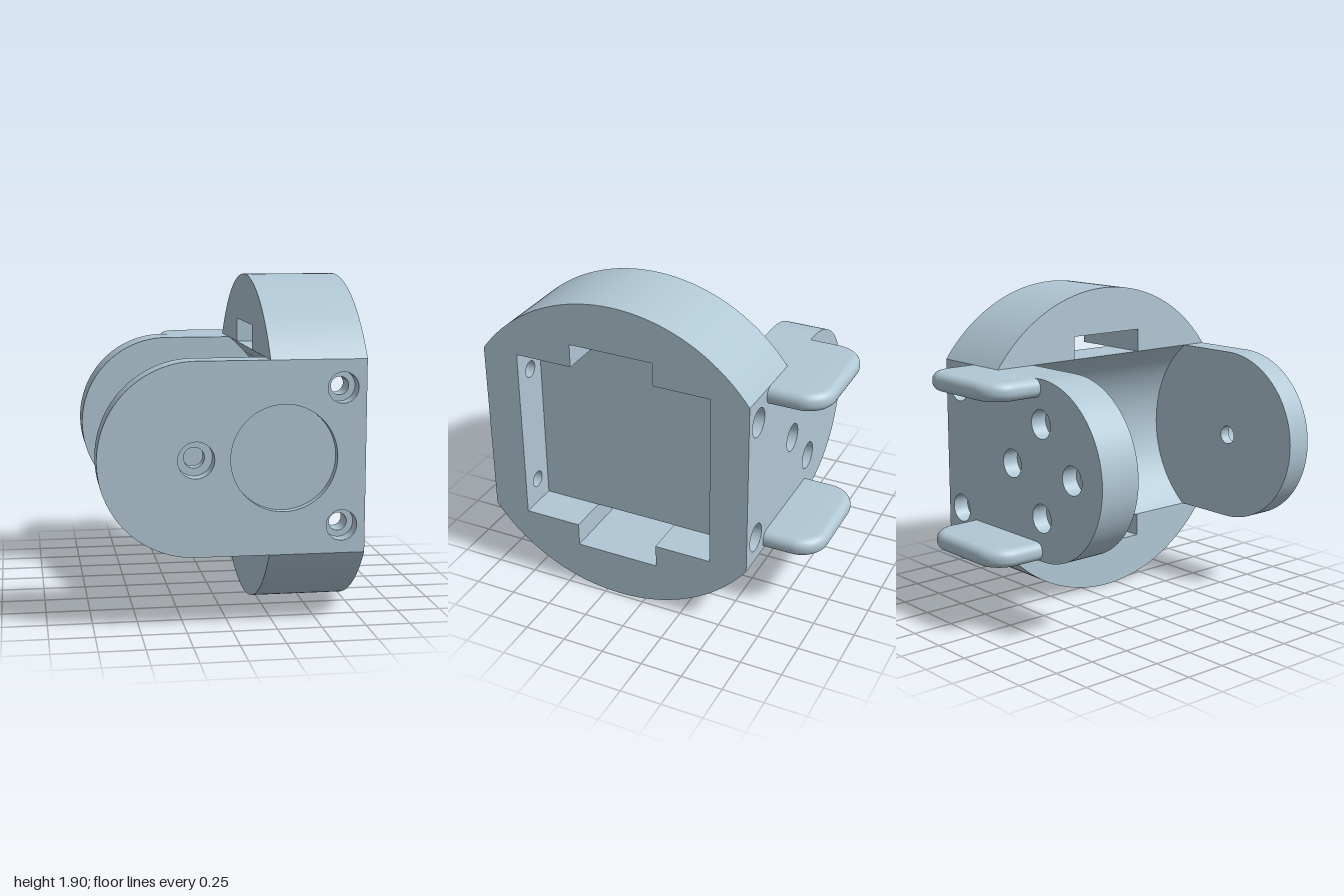
import * as THREE from 'three';
import { toCreasedNormals } from 'three/addons/utils/BufferGeometryUtils.js';

const BOTTOM = 0.42, TOP = 1.485, MID = 0.9525, HALF = (TOP - BOTTOM) / 2;
const FACE = 0.73, INNER = 0.2, FLOOR = 0.487; // outer face, inner face, pocket floor (x)
const PIVOT = -0.2;

export function createModel() {
  const model = new THREE.Group();
  const plastic = new THREE.MeshStandardMaterial({ color: 0xb0c7d4 });
  plastic.name = 'paleBluePlastic';

  const add = (name, geometry) => {
    const mesh = new THREE.Mesh(toCreasedNormals(geometry, 0.5), plastic);
    mesh.name = name;
    model.add(mesh);
  };

  // Slab of an xy shape between two z values, drilled with [x, y, radius] holes
  const slab = (name, shape, z0, z1, holes = []) => {
    for (const [x, y, r] of holes) {
      const path = new THREE.Path();
      path.absarc(x, y, r, 0, Math.PI * 2, true);
      shape.holes.push(path);
    }
    const g = new THREE.ExtrudeGeometry(shape, { depth: z1 - z0, bevelEnabled: false, curveSegments: 48 });
    add(name, g.translate(0, 0, z0));
  };

  // Plate outline: square at the body, round around the pivot
  const outline = (xMax = FACE) => {
    const s = new THREE.Shape();
    s.moveTo(xMax, BOTTOM);
    s.lineTo(xMax, TOP);
    s.lineTo(PIVOT, TOP);
    s.absarc(PIVOT, MID, HALF, Math.PI / 2, Math.PI * 1.5, false);
    s.closePath();
    return s;
  };
  const block = () => new THREE.Shape([
    new THREE.Vector2(FLOOR, BOTTOM), new THREE.Vector2(FACE, BOTTOM),
    new THREE.Vector2(FACE, TOP), new THREE.Vector2(FLOOR, TOP),
  ]);

  const mounts = (r) => [-1, 1].map((s) => [0.6, MID + s * 0.378, r]);
  const horn = (r) => [0, 1, 2, 3].map((i) => {
    const a = i * Math.PI / 2;
    return [PIVOT + 0.275 * Math.cos(a), MID + 0.275 * Math.sin(a), r];
  });

  // Front plate, layered for its counterbores and round recess
  const bores = [...mounts(0.085), [PIVOT, MID, 0.1]];
  slab('frontPlateFace', outline(), 0.95, 1, [...bores, [0.28, MID, 0.293]]);
  slab('frontPlateMiddle', outline(), 0.91, 0.95, bores);
  slab('frontPlateInner', outline(), 0.84, 0.91, [...mounts(0.05), [PIVOT, MID, 0.057]]);
  slab('frontPocketWall', block(), 0.78, 0.84, mounts(0.05));

  // Rear plate with counterbored horn screws
  slab('rearPlateFace', outline(), -0.66, -0.56, [...mounts(0.085), ...horn(0.085)]);
  slab('rearPlateInner', outline(), -0.56, -0.43, [...mounts(0.05), ...horn(0.05)]);
  slab('rearPlateLip', outline(FLOOR), -0.43, -0.4, horn(0.05));

  // Web between the plates, hollowed by a cylinder around the pivot
  const radius = Math.hypot(INNER - PIVOT, HALF), sweep = Math.atan2(HALF, INNER - PIVOT);
  const web = new THREE.Shape();
  web.moveTo(FLOOR, BOTTOM);
  web.lineTo(FLOOR, TOP);
  web.lineTo(INNER, TOP);
  web.absarc(PIVOT, MID, radius, sweep, -sweep, true);
  web.closePath();
  slab('concaveWeb', web, -0.4, 0.84);

  // Domed caps above and below, notched by a slot (profile x is -z)
  const cap = new THREE.Shape();
  const start = Math.atan2(0.61, 0.83);
  cap.moveTo(-1, TOP);
  cap.lineTo(-0.43, TOP);
  cap.lineTo(-0.43, 1.625);
  cap.lineTo(0.085, 1.625);
  cap.lineTo(0.085, TOP);
  cap.lineTo(0.66, TOP);
  cap.absarc(-0.17, 0.875, 1.03, start, Math.PI - start, false);
  const capPoints = cap.getPoints(64);
  for (const side of [1, -1]) {
    const shape = new THREE.Shape(capPoints.map((p) => new THREE.Vector2(p.x, MID + side * (p.y - MID))));
    const g = new THREE.ExtrudeGeometry(shape, { depth: FACE - INNER, bevelEnabled: false });
    add(side > 0 ? 'upperCap' : 'lowerCap', g.rotateY(Math.PI / 2).translate(INNER, 0, 0));
  }

  // Rounded tabs on the back (plan y is -z), cut flat where they meet the plate
  const b = 0.05, r = 0.12, x0 = -0.2 + b, x1 = 0.49 - b, end = 1 - b;
  for (const [name, y] of [['upperTab', TOP - 0.11], ['lowerTab', BOTTOM]]) {
    const s = new THREE.Shape();
    s.moveTo(x0, 0.6);
    s.lineTo(x1, 0.6);
    s.absarc(x1 - r, end - r, r, 0, Math.PI / 2, false);
    s.absarc(x0 + r, end - r, r, Math.PI / 2, Math.PI, false);
    s.closePath();
    const g = new THREE.ExtrudeGeometry(s, {
      depth: 0.11 - 2 * b, bevelSize: b, bevelThickness: b, bevelSegments: 8, curveSegments: 16,
    });
    g.rotateX(-Math.PI / 2).translate(0, y + b, 0);
    const p = g.attributes.position;
    for (let i = 0; i < p.count; i++) p.setZ(i, Math.min(p.getZ(i), -0.66));
    add(name, g);
  }
  return model;
}
